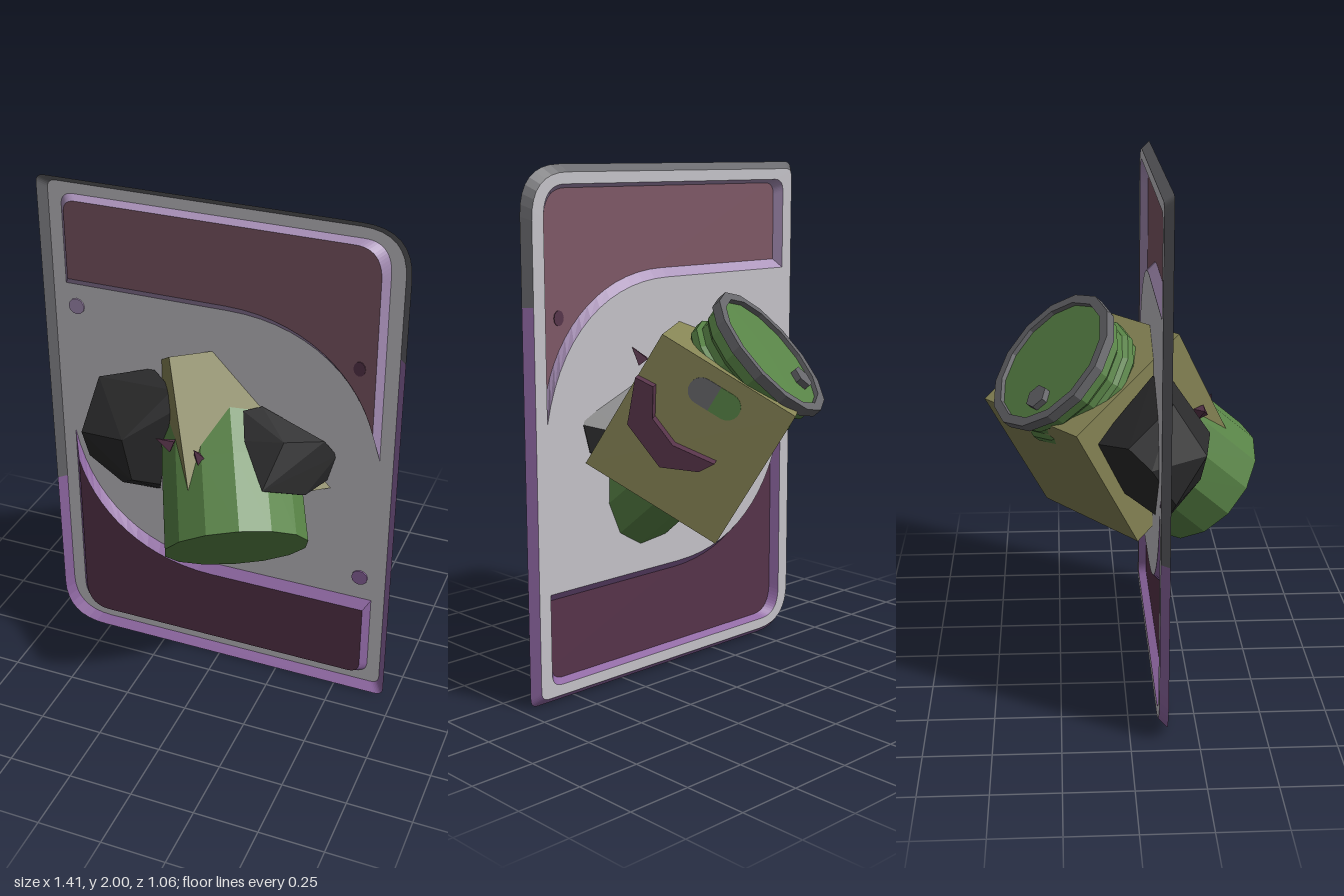
import * as THREE from 'three';
import { ConvexGeometry } from 'three/addons/geometries/ConvexGeometry.js';

const V = (x, y, z) => new THREE.Vector3(x, y, z);

function material(name, color, side = THREE.FrontSide) {
  const m = new THREE.MeshStandardMaterial({ color, side });
  m.name = name;
  return m;
}

// one normal per face
function flat(g) {
  const f = g.index ? g.toNonIndexed() : g;
  f.computeVertexNormals();
  return f;
}

// sloped band joining two outlines that have the same point count
function band(a, za, b, zb, keep = () => true) {
  const pos = [];
  for (let i = 0; i < a.length; i++) {
    const j = (i + 1) % a.length;
    if (!keep((a[i].x + a[j].x) / 2, (a[i].y + a[j].y) / 2)) continue;
    const p = [a[i], a[j], b[j], b[i]].map((v, k) => [v.x, v.y, k < 2 ? za : zb]);
    for (const k of [0, 1, 2, 0, 2, 3]) pos.push(...p[k]);
  }
  const g = new THREE.BufferGeometry();
  g.setAttribute('position', new THREE.Float32BufferAttribute(pos, 3));
  g.computeVertexNormals();
  return g;
}

// card outline: two wide and two tight corners
function cardOutline(d) {
  const x = 0.705 - d, b = d, t = 2 - d, R = 0.18 - d * 0.5, r = 0.035;
  const s = new THREE.Shape();
  s.moveTo(-x + R, b).lineTo(x - r, b).quadraticCurveTo(x, b, x, b + r);
  s.lineTo(x, 1.5).lineTo(x, t - R).quadraticCurveTo(x, t, x - R, t);
  s.lineTo(-x + r, t).quadraticCurveTo(-x, t, -x, t - r);
  s.lineTo(-x, 0.7).lineTo(-x, b + R).quadraticCurveTo(-x, b, -x + R, b);
  return s.getPoints(8).slice(0, -1);
}

// upper window outline, inset by d; the lower one is turned half round
function windowOutline(d, lower) {
  const x = 0.625 - d, t = 1.93 - d * 0.6, y = 1.57 + d * 1.4;
  const s = new THREE.Shape();
  s.moveTo(-x, y).lineTo(-x, t - 0.05).quadraticCurveTo(-x, t, -x + 0.05, t);
  s.lineTo(x - 0.1, t).quadraticCurveTo(x, t, x, t - 0.12).lineTo(x, 1.07 + d * 5);
  s.bezierCurveTo(x - 0.065, 1.4 + d, 0.33, y, 0.03, y);
  const pts = s.getPoints(14);
  return lower ? pts.map(p => new THREE.Vector2(-p.x, 2 - p.y)) : pts;
}

export function createModel() {
  const root = new THREE.Group();
  const DS = THREE.DoubleSide;
  const grey = material('card grey', 0xc6c4ca, DS);
  const mauve = material('mauve', 0x7f5866, DS);
  const plum = material('dark plum', 0x57344a, DS);
  const purple = material('purple', 0x9068a4, DS);
  const lavender = material('lavender', 0xa890b8, DS);
  const steel = material('dark grey', 0x66666a, DS);
  const olive = material('olive', 0x868455);
  const green = material('green', 0x588346);
  const coal = material('charcoal', 0x2b2b2c);

  function add(parent, name, geo, mat, pos) {
    const m = new THREE.Mesh(geo, mat);
    m.name = name;
    if (pos) m.position.copy(pos);
    parent.add(m);
    return m;
  }

  // card: flat tray with flared rim and two raised panels
  const card = new THREE.Group();
  card.name = 'card';
  root.add(card);
  const zBack = 0.106, zFront = 0.138;
  const inner = cardOutline(0.028), outer = cardOutline(0);
  const face = new THREE.Shape(inner);
  for (const lower of [false, true]) {
    const edge = windowOutline(0, lower), panel = windowOutline(0.024, lower);
    const side = lower ? 'lower' : 'upper';
    face.holes.push(new THREE.Path(edge));
    add(card, side + 'PanelWall', band(edge, zBack, panel, zFront), lower ? purple : lavender);
    add(card, side + 'Panel', new THREE.ShapeGeometry(new THREE.Shape(panel)), lower ? plum : mauve, V(0, 0, zFront));
  }
  add(card, 'cardFace', new THREE.ShapeGeometry(face), grey, V(0, 0, zBack));
  const isTop = (x, y) => y > (x > 0 ? 1.5 : 0.7);
  add(card, 'upperRim', band(inner, zBack, outer, zFront, isTop), steel);
  add(card, 'lowerRim', band(inner, zBack, outer, zFront, (x, y) => !isTop(x, y)), purple);

  // small painted dots
  const dot = new THREE.CylinderGeometry(0.032, 0.032, 0.006, 12).rotateX(Math.PI / 2);
  add(card, 'upperDot', dot, lavender, V(-0.585, 1.48, 0.11));
  add(card, 'lowerDot', dot, purple, V(0.575, 0.53, 0.11));
  add(card, 'panelDot', dot.clone().scale(0.7, 0.9, 1), plum, V(0.54, 1.45, zFront));

  // tilted cube
  const head = new THREE.Group();
  head.name = 'cubeHead';
  const S = 0.566;
  head.quaternion.setFromRotationMatrix(new THREE.Matrix4().makeBasis(
    V(-0.518, -0.516, -0.684).normalize(), V(-0.309, 0.862, -0.403).normalize(), V(0.793, 0, -0.61).normalize()));
  head.position.set(0.001, 1.006, -0.045);
  root.add(head);
  add(head, 'cube', new THREE.BoxGeometry(S, S, S), olive);

  // crescent on the cube's side
  const crescent = [[0, 0.31], [0.11, 0.6], [0.43, 0.73], [0.66, 0.62], [0.72, 0.52], [0.43, 0.56], [0.23, 0.48], [0.13, 0.3]]
    .map(([s, t]) => new THREE.Vector2((s - 0.5) * S, (0.5 - t) * S));
  add(head, 'crescent', new THREE.ExtrudeGeometry(new THREE.Shape(crescent), { depth: 0.065, bevelEnabled: false }),
    plum, V(0, 0, S / 2 - 0.005));

  // slot, half grey and half green
  const slotHalf = (dir) => {
    const s = new THREE.Shape();
    s.moveTo(0, -0.05 * dir).lineTo(0.055 * dir, -0.05 * dir);
    s.absarc(0.055 * dir, 0, 0.05, -dir * Math.PI / 2, -dir * Math.PI / 2 + Math.PI, false);
    s.lineTo(0, 0.05 * dir);
    return new THREE.ExtrudeGeometry(s, { depth: 0.004, bevelEnabled: false, curveSegments: 6 });
  };
  add(head, 'slotGrey', slotHalf(-1), steel, V(0, 0.32 * S, S / 2));
  add(head, 'slotGreen', slotHalf(1), green, V(0, 0.32 * S, S / 2));

  // barrel running through the cube
  const axis = V(-0.341, 0.664, -0.664).normalize();
  const barrel = new THREE.Group();
  barrel.name = 'barrel';
  barrel.position.set(0.15, 0.7, 0.33);
  barrel.quaternion.setFromUnitVectors(V(0, 1, 0), axis);
  root.add(barrel);
  const lathe = (pts) => flat(new THREE.LatheGeometry(pts.map(p => new THREE.Vector2(...p)), 14));
  add(barrel, 'barrelBody', lathe([[0, 0], [0.275, 0], [0.268, 0.3], [0.255, 0.6], [0.25, 0.72], [0.265, 0.735],
    [0.265, 0.765], [0.25, 0.78], [0.25, 0.81], [0.265, 0.825], [0.265, 0.89], [0, 0.89]]), green);
  add(barrel, 'lidRim', lathe([[0.25, 0.87], [0.288, 0.87], [0.288, 0.908], [0.252, 0.908], [0.25, 0.87]]), steel);
  const plug = add(root, 'lidPlug', flat(new THREE.CylinderGeometry(0.048, 0.048, 0.03, 6)), steel, V(-0.275, 1.19, -0.315));
  plug.quaternion.copy(barrel.quaternion);

  // rough stones on both sides
  const stone = (name, pts) => add(root, name, flat(new ConvexGeometry(pts.map(p => V(...p)))), coal);
  stone('rightStone', [[-0.57, 1.01, 0.08], [-0.48, 1.225, 0.16], [-0.28, 1.27, 0.1], [-0.17, 1.235, 0.17],
    [-0.165, 1.155, 0.2], [-0.23, 0.8, 0.17], [-0.265, 0.73, 0.1], [-0.41, 0.75, 0.14], [-0.535, 0.865, 0.17],
    [-0.32, 1.06, 0.31], [-0.505, 1.04, 0.28], [-0.3, 0.87, 0.28], [-0.39, 1.05, -0.11], [-0.53, 1.08, 0],
    [-0.3, 0.85, -0.04]]);
  stone('leftStone', [[0.11, 1.2, 0.16], [0.17, 1.21, 0.12], [0.42, 1.12, 0.13], [0.46, 1.05, 0.1], [0.43, 0.94, 0.1],
    [0.38, 0.93, 0.22], [0.26, 1.0, 0.355], [0.15, 1.13, 0.25], [0.3, 1.15, 0.24], [0.24, 0.88, 0.18], [0.3, 1.0, 0.02]]);

  // small thorns
  for (const [x, y, z, tilt] of [[0, 1.08, 0.335, 0.3], [-0.15, 1.085, 0.3, 1.2], [0.2, 1.29, 0.09, -0.5]]) {
    const t = add(root, 'thorn', flat(new THREE.ConeGeometry(0.03, 0.07, 4)), plum, V(x, y, z));
    t.rotation.set(0.4, 0, tilt);
  }
  return root;
}
